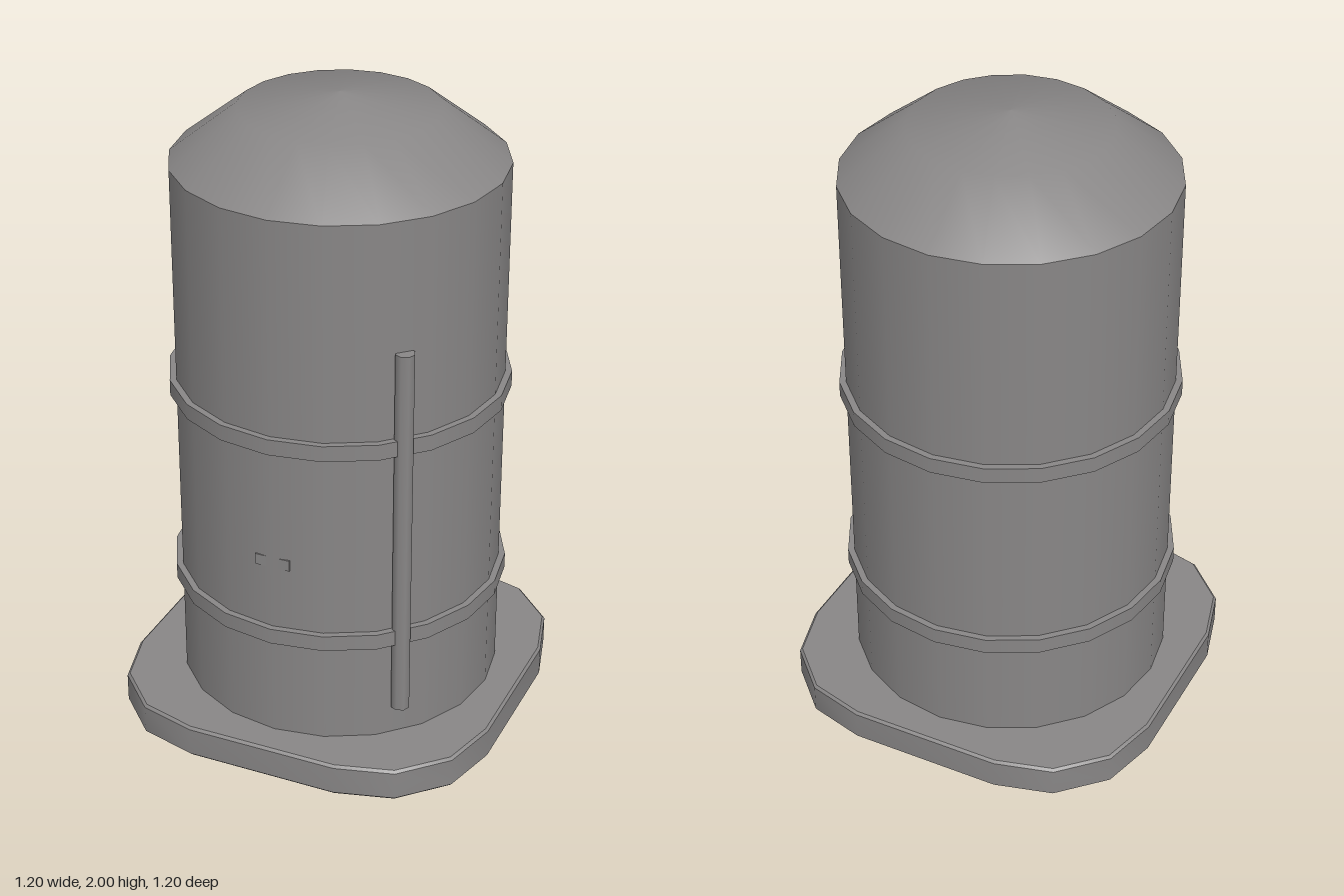
import * as THREE from 'three';
import { toCreasedNormals } from 'three/addons/utils/BufferGeometryUtils.js';

const SIDES = 20;

export function createModel() {
  const model = new THREE.Group();
  model.name = 'tank';
  const grey = new THREE.MeshStandardMaterial({ color: 0x888686 });
  grey.name = 'grey metal';

  const add = (name, geometry, x = 0, y = 0, z = 0) => {
    const mesh = new THREE.Mesh(geometry, grey);
    mesh.name = name;
    mesh.position.set(x, y, z);
    model.add(mesh);
    return mesh;
  };

  // Base slab: a square with three-step rounded corners and a thin bevel
  const bevel = 0.008, inner = 0.24, radius = 0.36 - bevel;
  const outline = [];
  for (let corner = 0; corner < 4; corner++) {
    const middle = Math.PI / 4 + corner * Math.PI / 2;
    const cx = Math.sign(Math.cos(middle)) * inner;
    const cy = Math.sign(Math.sin(middle)) * inner;
    for (let step = 0; step <= 3; step++) {
      const a = corner * Math.PI / 2 + step * Math.PI / 6;
      outline.push(new THREE.Vector2(cx + radius * Math.cos(a), cy + radius * Math.sin(a)));
    }
  }
  const slab = new THREE.ExtrudeGeometry(new THREE.Shape(outline), {
    depth: 0.105 - 2 * bevel, bevelThickness: bevel, bevelSize: bevel, bevelSegments: 1,
  });
  slab.rotateX(-Math.PI / 2).translate(0, bevel, 0);
  add('base', toCreasedNormals(slab, 0.6));

  // Cylindrical body
  add('body', new THREE.CylinderGeometry(0.5, 0.5, 1.7, SIDES, 1, true), 0, 0.95, 0);

  // Shallow domed roof
  const profile = [[0.5, 1.8], [0.3, 1.955], [0, 2]].map(([r, y]) => new THREE.Vector2(r, y));
  add('roof', new THREE.LatheGeometry(profile, SIDES));

  // Two raised bands
  for (const [name, y] of [['lowerBand', 0.457], ['upperBand', 1.103]]) {
    add(name, new THREE.CylinderGeometry(0.52, 0.52, 0.05, SIDES), 0, y, 0);
  }

  // Upright pipe on the front left
  add('pipe', new THREE.CylinderGeometry(0.03, 0.03, 1.2, 8), 0.354, 0.8, 0.354);

  // Small latch, almost flush with the front of the body
  add('latch', new THREE.BoxGeometry(0.11, 0.035, 0.03), 0, 0.703, 0.482);

  return model;
}
